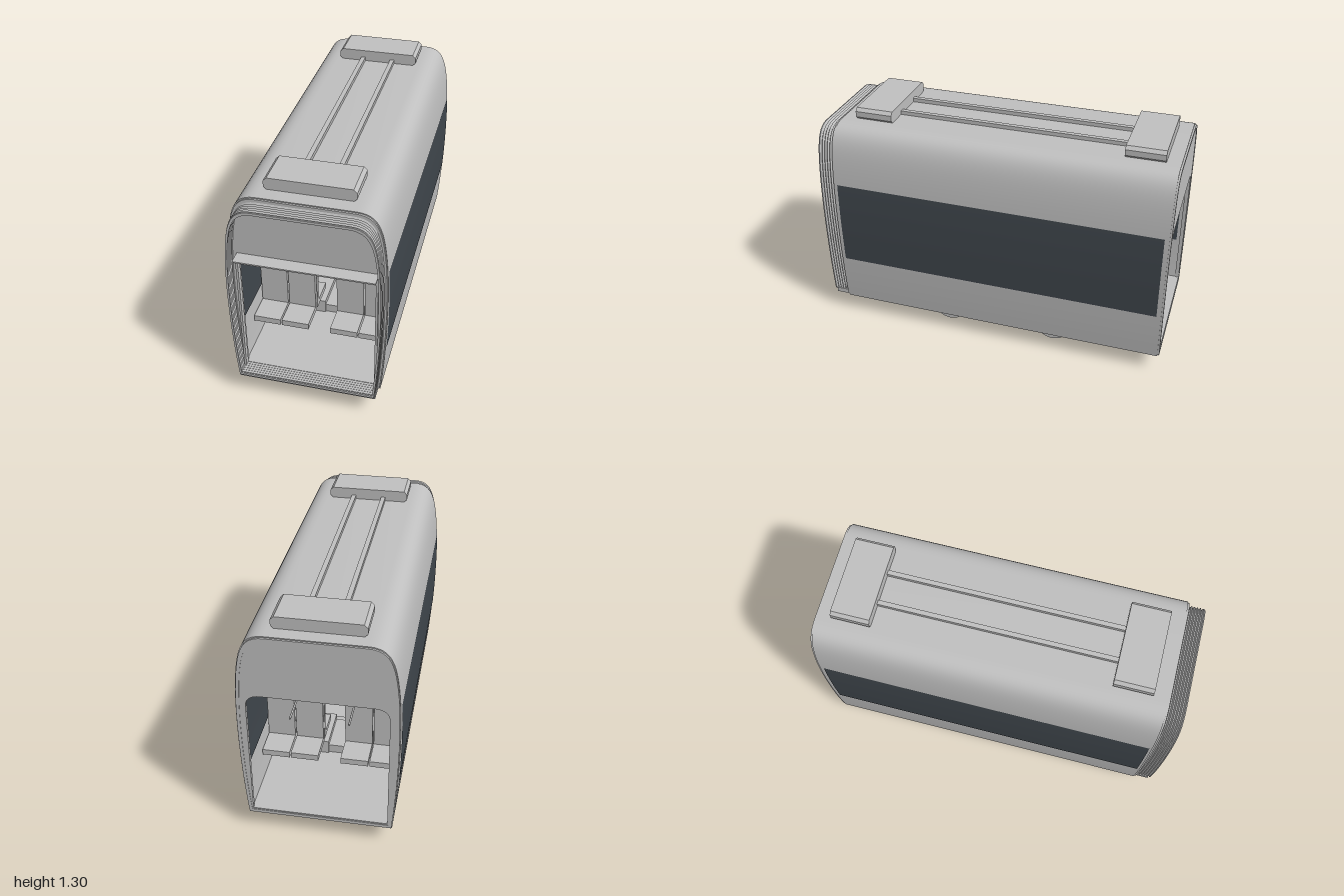
import * as THREE from 'three';
import { toCreasedNormals } from 'three/addons/utils/BufferGeometryUtils.js';

const grey = new THREE.MeshStandardMaterial({ color: 0xc0c0c0, side: THREE.DoubleSide });
grey.name = 'grey';
const glass = new THREE.MeshStandardMaterial({ color: 0x40474d, side: THREE.DoubleSide });
glass.name = 'dark glass';

// Right half of the body cross-section, from the sill to the roof
const half = new THREE.Path();
half.moveTo(0.385, 0.11);
half.bezierCurveTo(0.41, 0.35, 0.425, 0.75, 0.403, 0.98);
half.bezierCurveTo(0.385, 1.16, 0.36, 1.24, 0.25, 1.24);
const halfPoints = half.getPoints(12);
const MID = 0.675;

// Closed cross-section, scaled about its middle
function section(sx = 1, sy = sx) {
  const right = halfPoints.map(p => new THREE.Vector2(p.x * sx, MID + (p.y - MID) * sy));
  const left = right.map(p => new THREE.Vector2(-p.x, p.y)).reverse();
  return [...right, ...left];
}

// Half width of the body at a height
function wallX(y) {
  for (let i = 1; i < halfPoints.length; i++) {
    const a = halfPoints[i - 1], b = halfPoints[i];
    if (y <= b.y) return a.x + (b.x - a.x) * (y - a.y) / (b.y - a.y);
  }
  return 0.25;
}

function extrude(outline, hole, z0, z1) {
  const shape = new THREE.Shape(outline);
  if (hole) shape.holes.push(new THREE.Path(hole));
  const geo = new THREE.ExtrudeGeometry(shape, { depth: z1 - z0, bevelEnabled: false });
  geo.translate(0, 0, z0);
  return toCreasedNormals(geo, 0.6);
}

// Skin through a row of [scale, z] sections
function loft(rows) {
  const pos = [], index = [];
  const n = section().length;
  rows.forEach(([s, z]) => section(s).forEach(p => pos.push(p.x, p.y, z)));
  for (let r = 0; r < rows.length - 1; r++) {
    for (let i = 0; i < n; i++) {
      const a = r * n + i, b = r * n + (i + 1) % n;
      index.push(a, b, b + n, a, b + n, a + n);
    }
  }
  const geo = new THREE.BufferGeometry();
  geo.setAttribute('position', new THREE.Float32BufferAttribute(pos, 3));
  geo.setIndex(index);
  return toCreasedNormals(geo, 0.6);
}

export function createModel() {
  const model = new THREE.Group();

  function add(name, geo, x = 0, y = 0, z = 0, mat = grey, parent = model) {
    const mesh = new THREE.Mesh(geo, mat);
    mesh.name = name;
    mesh.position.set(x, y, z);
    parent.add(mesh);
    return mesh;
  }
  // Box given by its limits
  const block = (name, x0, x1, y0, y1, z0, z1, mat, parent) =>
    add(name, new THREE.BoxGeometry(x1 - x0, y1 - y0, z1 - z0),
      (x0 + x1) / 2, (y0 + y1) / 2, (z0 + z1) / 2, mat, parent);
  // Cylinder lying across the vehicle
  const crossCylinder = (name, r, length, x, y, z) => {
    const geo = new THREE.CylinderGeometry(r, r, length, 32);
    geo.rotateZ(Math.PI / 2);
    return add(name, geo, x, y, z);
  };

  // Body shell with softened ends
  const inner = section(0.95, 0.957);
  add('bodyShell', extrude(section(), inner, -0.99, 0.9));
  add('rearRim', extrude(section(0.99), inner, -1, -0.99));
  add('frontRim', extrude(section(0.99), inner, 0.9, 0.91));
  block('floor', -0.375, 0.375, 0.112, 0.14, -0.995, 0.985);

  // End walls with round-topped doorways
  const door = new THREE.Path();
  door.moveTo(-0.36, 0.142);
  door.lineTo(0.36, 0.142);
  door.lineTo(0.36, 0.82);
  door.quadraticCurveTo(0.36, 0.89, 0.28, 0.89);
  door.lineTo(-0.28, 0.89);
  door.quadraticCurveTo(-0.36, 0.89, -0.36, 0.82);
  const doorway = door.getPoints(8);
  add('rearWall', extrude(section(0.97), doorway, -0.997, -0.975));
  add('frontWall', extrude(section(0.955), doorway, 0.88, 0.905));
  block('doorCanopy', -0.365, 0.365, 0.884, 0.892, 0.9, 0.98);
  for (const s of [-1, 1]) {
    block('doorPost', s * 0.362 - 0.006, s * 0.362 + 0.006, 0.14, 0.88, 0.9, 0.93);
  }

  // Folded gangway bellows
  const folds = [];
  for (let i = 0; i <= 12; i++) folds.push([i % 2 ? 0.966 : 0.945, 0.905 + i * 0.095 / 12]);
  add('bellows', loft(folds));
  add('bellowsEnd', extrude(section(0.96), section(0.935), 0.992, 1));

  // Long side windows, outside and inside
  for (const s of [-1, 1]) {
    for (const [name, scale, gap] of [['outerWindow', 1, 0.003], ['innerWindow', 0.95, -0.004]]) {
      const geo = new THREE.PlaneGeometry(1.85, 0.5, 1, 10);
      geo.rotateY(s * Math.PI / 2);
      const p = geo.attributes.position;
      for (let i = 0; i < p.count; i++) {
        const y = p.getY(i) + 0.65;
        p.setXYZ(i, s * (wallX(y) * scale + gap), y, p.getZ(i) * (gap > 0 ? 1 : 0.99) - 0.04);
      }
      geo.computeVertexNormals();
      add(name, geo, 0, 0, 0, glass);
    }
  }

  // Roof pods and the ducts between them
  const pod = [[-0.215, 1.235], [0.215, 1.235], [0.235, 1.255], [0.235, 1.287], [0.217, 1.305],
    [-0.217, 1.305], [-0.235, 1.287], [-0.235, 1.255]].map(p => new THREE.Vector2(...p));
  add('frontRoofPod', extrude(pod, null, 0.605, 0.818));
  add('rearRoofPod', extrude(pod, null, -0.912, -0.698));
  for (const s of [-1, 1]) {
    block('roofDuct', s * 0.09 - 0.013, s * 0.09 + 0.013, 1.23, 1.262, -0.7, 0.61);
  }

  // Seats in back-to-back rows
  function seatRow(z, facing) {
    const row = new THREE.Group();
    row.name = 'seatRow';
    for (const x of [-0.298, -0.138, 0.138, 0.298]) {
      block('seatBack', x - 0.076, x + 0.076, 0.275, 0.61, -0.03, 0, grey, row);
      block('seatCushion', x - 0.076, x + 0.076, 0.275, 0.31, 0, 0.15, grey, row);
    }
    row.position.z = z;
    row.rotation.y = facing > 0 ? 0 : Math.PI;
    model.add(row);
  }
  for (const s of [-1, 1]) {
    seatRow(s * 0.57, s);
    seatRow(s * 0.5, -s);
  }

  // Grab rails
  for (const s of [-1, 1]) {
    const geo = new THREE.CylinderGeometry(0.005, 0.005, 1.55, 10);
    geo.rotateX(Math.PI / 2);
    add('grabRail', geo, s * 0.15, 0.735, -0.175);
  }

  // Hanging display with a screen on each face
  block('displayCase', -0.112, 0.112, 0.783, 0.86, -0.015, 0.015);
  add('displayRod', new THREE.CylinderGeometry(0.006, 0.006, 0.36, 10), 0, 1.04, 0);
  for (const s of [-1, 1]) {
    block('displayScreen', -0.104, 0.104, 0.789, 0.854, s * 0.017 - 0.002, s * 0.017 + 0.002, glass);
  }

  // Wheel sets with housings, brakes and motor
  for (const z of [0.28, -0.36]) {
    crossCylinder('axle', 0.012, 0.6, 0, 0.1, z);
    const motorZ = z > 0 ? 0.12 : -0.2;
    crossCylinder('motor', 0.05, 0.26, -0.02, 0.117, motorZ);
    block('aisleStep', -0.05, 0.05, 0.14, 0.19, z - 0.12, z + 0.12);
    for (const s of [-1, 1]) {
      crossCylinder('wheelFlange', 0.11, 0.014, s * 0.257, 0.113, z);
      crossCylinder('wheelTread', 0.1, 0.035, s * 0.278, 0.113, z);
      crossCylinder('brakeDisc', 0.062, 0.016, s * 0.175, 0.107, z);
      block('axleBox', s * 0.315 - 0.018, s * 0.315 + 0.018, 0.086, 0.125, z - 0.05, z + 0.05);
      block('wheelHousing', s * 0.207 - 0.157, s * 0.207 + 0.157, 0.135, 0.22, z - 0.13, z + 0.13);
      add('suspensionTop', new THREE.CylinderGeometry(0.036, 0.036, 0.05, 24), s * 0.303, 0.241, z);
    }
  }
  return model;
}
